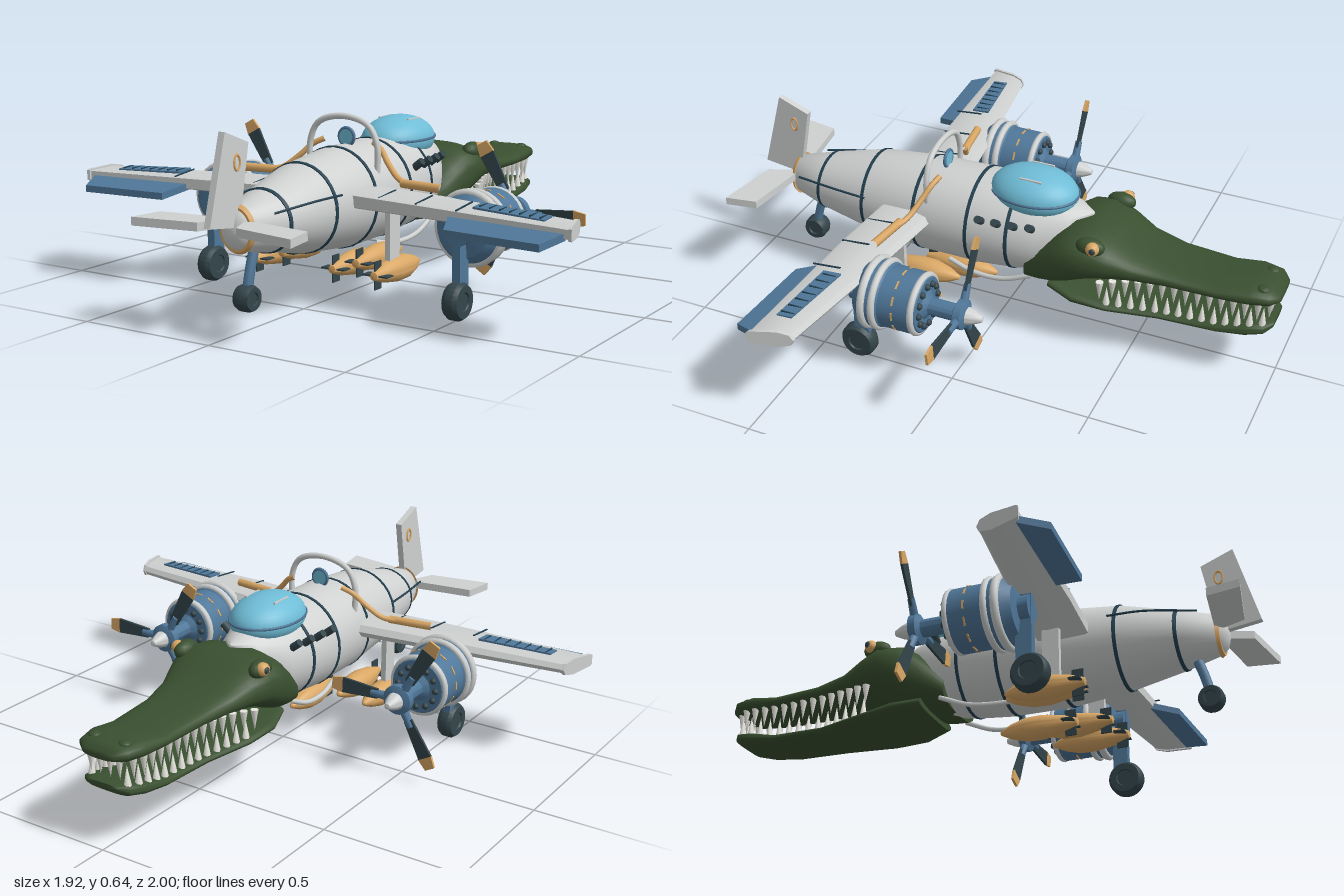
import * as THREE from 'three';
import { toCreasedNormals } from 'three/addons/utils/BufferGeometryUtils.js';

const mat = (name, color) => Object.assign(new THREE.MeshStandardMaterial({ color }), { name });
const white = mat('paleMetal', 0xcfd1d1), blue = mat('steelBlue', 0x50789a), glass = mat('canopyGlass', 0x6fbcd6);
const green = mat('crocodileGreen', 0x3a5030), tan = mat('tan', 0xd9a765), dark = mat('darkRubber', 0x33454b);
const navy = mat('navyTrim', 0x24404f), ivory = mat('tooth', 0xf0efe8);
const V = (x, y, z) => new THREE.Vector3(x, y, z);

// Closed skin over a list of equal-sized rings of points, faces outward
function loft(rings, crease = 0.7) {
  const n = rings[0].length, pos = [], idx = [];
  rings.forEach(r => r.forEach(p => pos.push(p.x, p.y, p.z)));
  for (let i = 0; i < rings.length - 1; i++) for (let j = 0; j < n; j++) {
    const a = i * n + j, b = i * n + (j + 1) % n;
    idx.push(a, b, a + n, b, b + n, a + n);
  }
  [0, rings.length - 1].forEach((k, end) => {
    const c = pos.length / 3, m = rings[k].reduce((s, p) => s.add(p), V(0, 0, 0)).divideScalar(n);
    pos.push(m.x, m.y, m.z);
    for (let j = 0; j < n; j++) {
      const a = k * n + j, b = k * n + (j + 1) % n;
      end ? idx.push(a, b, c) : idx.push(b, a, c);
    }
  });
  const at = i => V(pos[3 * i], pos[3 * i + 1], pos[3 * i + 2]);
  let volume = 0;
  for (let i = 0; i < idx.length; i += 3) volume += at(idx[i]).dot(at(idx[i + 1]).cross(at(idx[i + 2])));
  if (volume < 0) idx.reverse();
  const g = new THREE.BufferGeometry();
  g.setAttribute('position', new THREE.Float32BufferAttribute(pos, 3));
  g.setIndex(idx);
  return toCreasedNormals(g, crease);
}

// Rounded cross-section [z, half width, top, bottom]
function ring([z, w, top, bot], power = 1, grow = 0, n = 32) {
  const curve = v => Math.sign(v) * Math.abs(v) ** power;
  return Array.from({ length: n }, (_, i) => {
    const a = i / n * Math.PI * 2;
    return V((w + grow) * curve(Math.cos(a)), (top + bot) / 2 + ((top - bot) / 2 + grow) * curve(Math.sin(a)), z);
  });
}
function sectionAt(list, z) {
  const i = Math.max(1, list.findIndex(s => s[0] <= z)), a = list[i - 1], b = list[i];
  const t = (z - a[0]) / (b[0] - a[0]);
  return a.map((v, k) => v + (b[k] - v) * t);
}
function add(parent, name, geometry, material, x = 0, y = 0, z = 0) {
  const m = new THREE.Mesh(geometry, material);
  m.name = name;
  m.position.set(x, y, z);
  parent.add(m);
  return m;
}
const tube = (pts, r, seg = 16) => new THREE.TubeGeometry(new THREE.CatmullRomCurve3(pts.map(p => V(...p))), seg, r, 8);
// Turned shape along z from [radius, z] points
const turned = (pts, n = 28) => toCreasedNormals(new THREE.LatheGeometry(
  pts.map(p => new THREE.Vector2(p[0], -p[1])), n).rotateX(-Math.PI / 2), 0.6);
const slab = (corners, d) => loft([-d, d].map(t => corners.map(([x, y, z]) => V(x, y + t, z))), 0.3);

const body = [[0.88, 0.02, 0.35, 0.31], [0.87, 0.045, 0.385, 0.28], [0.85, 0.062, 0.405, 0.262], [0.72, 0.113, 0.44, 0.235],
  [0.52, 0.15, 0.495, 0.195], [0.3, 0.168, 0.52, 0.172], [0.08, 0.174, 0.523, 0.175], [-0.05, 0.166, 0.517, 0.188],
  [-0.15, 0.148, 0.505, 0.205], [-0.25, 0.095, 0.485, 0.28], [-0.315, 0.006, 0.465, 0.44]];
const upperJaw = [[-0.11, 0.14, 0.31, 0.2], [-0.17, 0.165, 0.375, 0.205], [-0.22, 0.182, 0.42, 0.215], [-0.27, 0.195, 0.452, 0.235],
  [-0.35, 0.2, 0.458, 0.275], [-0.42, 0.178, 0.428, 0.29], [-0.5, 0.148, 0.385, 0.298], [-0.62, 0.124, 0.362, 0.3],
  [-0.8, 0.116, 0.352, 0.3], [-0.9, 0.116, 0.37, 0.302], [-0.97, 0.1, 0.365, 0.308], [-1, 0.062, 0.345, 0.318]];
const lowerJaw = [[-0.2, 0.14, 0.235, 0.195], [-0.3, 0.172, 0.222, 0.175], [-0.42, 0.16, 0.203, 0.168], [-0.6, 0.118, 0.193, 0.163],
  [-0.8, 0.11, 0.2, 0.163], [-0.9, 0.109, 0.226, 0.175], [-0.96, 0.095, 0.235, 0.19], [-0.985, 0.06, 0.23, 0.208]];

function crocodileHead() {
  const g = new THREE.Group();
  g.name = 'crocodileHead';
  add(g, 'upperJaw', loft(upperJaw.map(s => ring(s, 0.75)), 1), green);
  add(g, 'lowerJaw', loft(lowerJaw.map(s => ring(s, 0.7)), 1), green);
  const tooth = new THREE.ConeGeometry(0.014, 0.075, 7);
  for (const s of [-1, 1]) {
    for (let i = 0; i < 14; i++) {
      const z = -0.4 - i * 0.041, up = sectionAt(upperJaw, z), low = sectionAt(lowerJaw, z - 0.018);
      add(g, 'upperTooth', tooth, ivory, s * (up[1] - 0.025), up[3] - 0.025, z).rotation.x = Math.PI;
      add(g, 'lowerTooth', tooth, ivory, s * (low[1] - 0.025), low[2] + 0.025, z - 0.018);
    }
    for (const x of [0.02, 0.058]) add(g, 'frontTooth', tooth, ivory, s * x, 0.285, -0.968).rotation.x = Math.PI;
    add(g, 'brow', new THREE.SphereGeometry(0.04, 16, 10).scale(0.8, 0.8, 1.3), green, s * 0.155, 0.43, -0.36);
    add(g, 'eye', new THREE.SphereGeometry(0.024, 16, 12), tan, s * 0.176, 0.437, -0.375);
    add(g, 'pupil', new THREE.SphereGeometry(0.012, 12, 8).scale(0.6, 1, 1), dark, s * 0.195, 0.439, -0.38);
    add(g, 'nostril', new THREE.SphereGeometry(0.022, 12, 8).scale(1, 0.5, 1), green, s * 0.06, 0.362, -0.94);
  }
  return g;
}

function engine() {
  const g = new THREE.Group();
  g.name = 'engine';
  add(g, 'cowling', turned([[0, 0.36], [0.045, 0.36], [0.045, 0.325], [0.09, 0.32], [0.118, 0.285], [0.118, 0.23], [0.108, 0.22],
    [0.108, 0.1], [0.095, 0.085], [0.05, 0.085], [0.03, 0.07], [0.03, -0.02], [0.052, -0.03], [0.052, -0.055], [0.03, -0.065], [0, -0.065]]), blue);
  add(g, 'spinner', turned([[0, -0.06], [0.032, -0.06], [0.024, -0.09], [0.01, -0.118], [0, -0.122]]), white);
  for (const [z, r, t] of [[0.275, 0.115, 0.015], [0.238, 0.114, 0.013], [0.1, 0.1, 0.012]])
    add(g, 'cowlRing', new THREE.TorusGeometry(r, t, 8, 32), white, 0, 0, z);
  for (let i = 0; i < 12; i++) {
    const a = i * Math.PI / 6;
    add(g, 'frontBolt', new THREE.SphereGeometry(0.012, 8, 6), dark, 0.073 * Math.cos(a), 0.073 * Math.sin(a), 0.082);
    add(g, 'cowlDash', new THREE.BoxGeometry(0.006, 0.03, 0.006), tan, 0.107 * Math.cos(a), 0.107 * Math.sin(a), 0.165).rotation.z = a;
  }
  for (let i = 0; i < 3; i++) {
    const blade = new THREE.Group();
    blade.name = 'propellerBlade';
    const leaf = (x0, x1, w0, w1) => loft([[x0, w0], [x1, w1]].map(([x, w]) =>
      [V(x, -w, -0.006), V(x, w, -0.003), V(x, w, 0.006), V(x, -w, 0.003)]), 0.3);
    add(blade, 'bladeRoot', new THREE.CylinderGeometry(0.013, 0.016, 0.07, 8).rotateZ(-Math.PI / 2), blue, 0.07);
    add(blade, 'blade', leaf(0.08, 0.22, 0.017, 0.027), dark);
    add(blade, 'bladeTip', leaf(0.22, 0.262, 0.028, 0.02), tan);
    blade.position.z = -0.042;
    blade.rotation.z = i * Math.PI * 2 / 3;
    g.add(blade);
  }
  return g;
}

function wheel(parent, name, x, y, z, r, w) {
  const h = w / 2;
  const g = toCreasedNormals(new THREE.LatheGeometry([[0, -h * 0.8], [r * 0.45, -h * 0.8], [r * 0.5, -h], [r * 0.85, -h], [r, -h * 0.5],
    [r, h * 0.5], [r * 0.85, h], [r * 0.5, h], [r * 0.45, h * 0.8], [0, h * 0.8]].map(p => new THREE.Vector2(...p)), 24), 0.6);
  add(parent, name, g.rotateZ(Math.PI / 2), dark, x, y, z);
}

function bomb(parent, x, y, z) {
  const g = new THREE.Group();
  g.name = 'bomb';
  add(g, 'bombBody', turned([[0, 0.15], [0.014, 0.145], [0.032, 0.09], [0.043, 0.02], [0.042, -0.04], [0.027, -0.095], [0.008, -0.135], [0, -0.14]], 18), tan);
  for (const a of [0, Math.PI / 2]) add(g, 'bombFin', new THREE.BoxGeometry(0.095, 0.005, 0.04), dark, 0, 0, 0.12).rotation.z = a;
  g.position.set(x, y, z);
  parent.add(g);
}

// Wing, engine, undercarriage and fittings of one side, s = +1 or -1
function side(s) {
  const g = new THREE.Group();
  g.name = s > 0 ? 'leftSide' : 'rightSide';
  const foil = (x0, x1, z0, z1, y, h) => [[0, 0], [0.08, 0.7], [0.35, 1], [0.95, 0.75], [1, 0.6], [1, -0.6], [0.95, -0.75], [0.35, -1], [0.08, -0.7]]
    .map(([t, k]) => V(s * (x0 + (x1 - x0) * t), y + h * k, z0 + (z1 - z0) * t));
  add(g, 'wing', loft([foil(0.12, 0.12, 0.235, 0.43, 0.368, 0.032), foil(0.4, 0.4, 0.27, 0.455, 0.367, 0.03),
    foil(0.91, 0.95, 0.345, 0.485, 0.36, 0.023)], 0.5), white);
  add(g, 'wingTip', loft([foil(0.91, 0.95, 0.342, 0.49, 0.36, 0.029), foil(0.922, 0.962, 0.344, 0.492, 0.36, 0.029)], 0.5), white);
  add(g, 'wingPanel', slab([[0.59, 0.395, 0.355], [0.85, 0.386, 0.39], [0.85, 0.381, 0.445], [0.59, 0.39, 0.42]].map(([x, y, z]) => [s * x, y, z]), 0.0045), blue);
  for (let i = 0; i < 7; i++) {
    const x = 0.61 + i * 0.037, z = 0.387 + i * 0.0045;
    add(g, 'panelSlat', new THREE.BoxGeometry(0.004, 0.006, 0.05), navy, s * x, 0.396 - i * 0.0012, z);
  }
  for (const x of [0.25, 0.4, 0.56]) {
    const z = 0.25 + (x - 0.12) * 0.14;
    add(g, 'wingSeam', slab([[x, 0.3995, z + 0.06], [x + 0.005, 0.3995, z + 0.06], [x + 0.005, 0.389, z + 0.165], [x, 0.389, z + 0.165]]
      .map(p => [s * p[0], p[1], p[2]]), 0.002), navy);
  }
  add(g, 'flap', slab([[0.52, 0.355, 0.45], [0.935, 0.35, 0.475], [0.895, 0.328, 0.57], [0.56, 0.33, 0.55]].map(([x, y, z]) => [s * x, y, z]), 0.012), blue);
  const e = engine();
  e.position.set(s * 0.5, 0.29, 0);
  g.add(e);

  add(g, 'wheelStrut', new THREE.BoxGeometry(0.03, 0.23, 0.055), blue, s * 0.5, 0.225, 0.335);
  wheel(g, 'mainWheel', s * 0.5, 0.064, 0.352, 0.064, 0.056);
  bomb(g, s * 0.24, 0.13, 0.3);
  bomb(g, s * 0.15, 0.155, 0.27);
  add(g, 'bombRack', new THREE.BoxGeometry(0.02, 0.19, 0.06), white, s * 0.24, 0.25, 0.33);

  // Tan hose with its thick barrel
  add(g, 'hose', tube([[0.3, 0.418, 0.305], [0.24, 0.425, 0.285], [0.18, 0.47, 0.26], [0.14, 0.51, 0.24], [0.1, 0.53, 0.225]].map(p => [s * p[0], p[1], p[2]]), 0.01), tan);
  add(g, 'barrel', tube([[0.42, 0.418, 0.322], [0.26, 0.418, 0.302]].map(p => [s * p[0], p[1], p[2]]), 0.015, 4), tan);
  for (let i = 0; i < 4; i++) {
    const z = 0.045 - i * 0.06, w = sectionAt(body, z)[1];
    add(g, 'exhaust', new THREE.CylinderGeometry(0.014, 0.014, 0.06, 10), dark, s * (w - 0.012), 0.43, z).rotation.z = s * -0.9;
  }
  add(g, 'cable', tube([[0.155, 0.4, 0.5], [0.145, 0.4, 0.62], [0.105, 0.385, 0.8]].map(p => [s * p[0], p[1], p[2]]), 0.004), navy);
  add(g, 'bellyPipe', tube([[0.09, 0.18, 0.2], [0.11, 0.165, 0.1], [0.12, 0.175, -0.02], [0.12, 0.22, -0.13]].map(p => [s * p[0], p[1], p[2]]), 0.009), white);
  add(g, 'tailplane', slab([[0.03, 0.35, 0.84], [0.285, 0.35, 0.875], [0.305, 0.35, 0.99], [0.075, 0.35, 0.95]].map(([x, y, z]) => [s * x, y, z]), 0.014), white);
  return g;
}

export function createModel() {
  const model = new THREE.Group();
  model.name = 'crocodilePlane';
  add(model, 'fuselage', loft(body.map(s => ring(s)), 1), white);
  for (const z of [0.72, 0.52, 0.31, 0.1, -0.05])
    add(model, 'fuselageBand', loft([z + 0.006, z - 0.006].map(q => ring(sectionAt(body, q), 1, 0.003))), navy);
  add(model, 'tailCollar', loft([0.858, 0.846].map(q => ring(sectionAt(body, q), 1, 0.008))), tan);
  model.add(crocodileHead());

  // Canopy with thin frame and hoop behind it
  add(model, 'canopy', new THREE.SphereGeometry(1, 32, 20).scale(0.12, 0.085, 0.16), glass, 0, 0.498, -0.092);
  add(model, 'canopyFrame', new THREE.TorusGeometry(1, 0.025, 6, 40).rotateX(Math.PI / 2).scale(0.121, 0.2, 0.161), blue, 0, 0.503, -0.092);
  for (const x of [-0.06, 0.06]) add(model, 'canopyStrip', new THREE.BoxGeometry(0.006, 0.008, 0.08), white, x, 0.57, -0.1);
  add(model, 'hoop', tube([[-0.135, 0.42, 0.26], [-0.135, 0.53, 0.26], [-0.1, 0.592, 0.26], [0, 0.618, 0.26],
    [0.1, 0.592, 0.26], [0.135, 0.53, 0.26], [0.135, 0.42, 0.26]], 0.011, 40), white);
  add(model, 'sightGlass', new THREE.CylinderGeometry(0.028, 0.028, 0.009, 20).rotateX(Math.PI / 2), glass, 0, 0.545, 0.24);
  add(model, 'sightRing', new THREE.TorusGeometry(0.03, 0.006, 8, 20), blue, 0, 0.545, 0.24);

  // Fin, tail wheel and middle bomb
  add(model, 'tailFin', loft([-0.012, 0.012].map(x => [[0.645, 0.915], [0.6, 0.8], [0.34, 0.85], [0.36, 0.995]].map(([y, z]) => V(x, y, z))), 0.3), white);
  add(model, 'finRing', new THREE.TorusGeometry(0.02, 0.006, 8, 16).rotateY(Math.PI / 2).scale(3, 1.2, 0.7), tan, 0, 0.545, 0.86);
  add(model, 'tailStrut', tube([[0, 0.27, 0.76], [0, 0.18, 0.79], [0, 0.11, 0.805]], 0.017, 6), blue);
  wheel(model, 'tailWheel', 0, 0.105, 0.805, 0.044, 0.058);
  bomb(model, 0, 0.1, 0.19);
  model.add(side(1), side(-1));
  return model;
}
